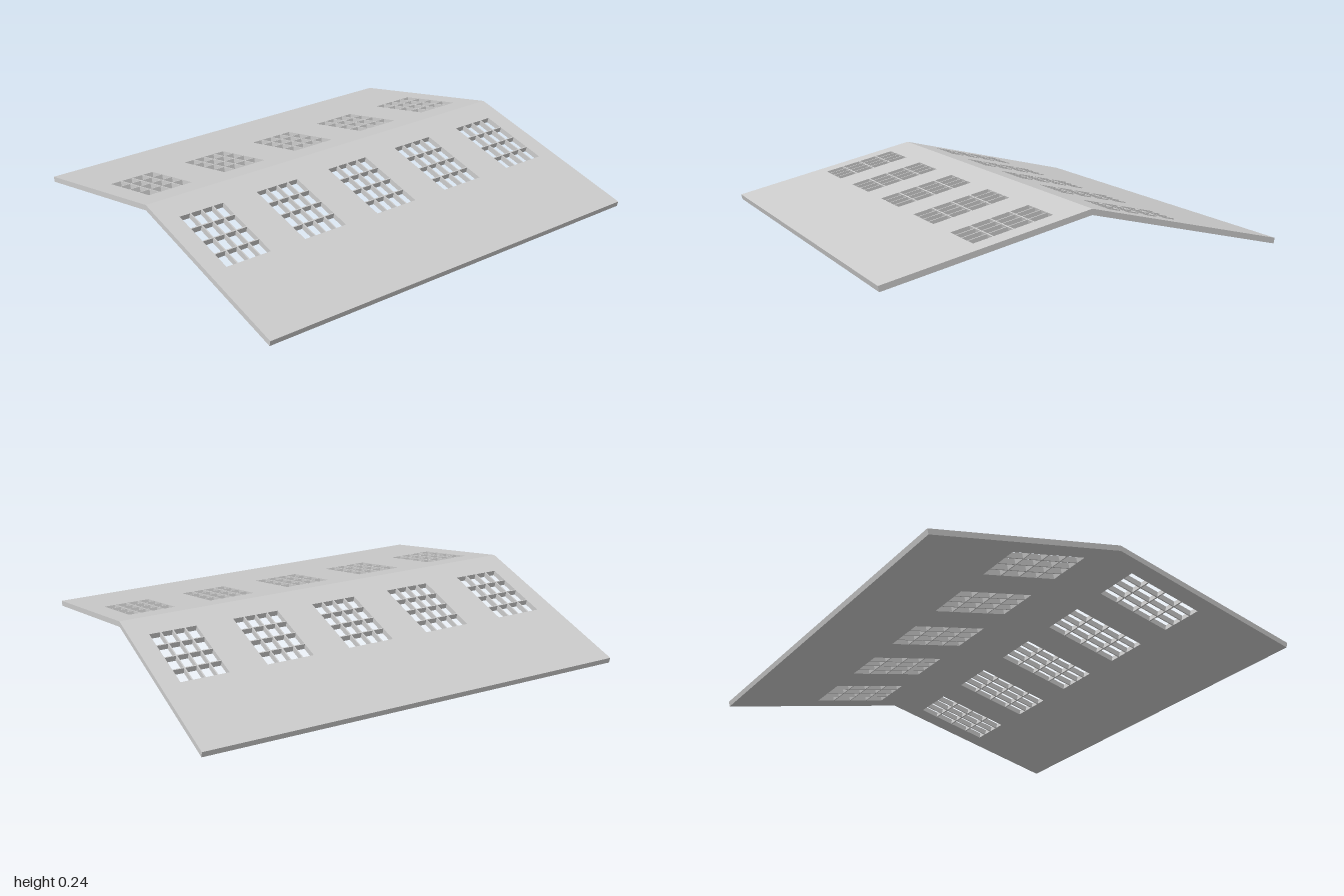
import * as THREE from 'three';

const HALF_WIDTH = 0.934, RIDGE = 0.24, EAVE_TOP = 0.025;
const PITCH = Math.atan((RIDGE - EAVE_TOP) / HALF_WIDTH);
const SLOPE = HALF_WIDTH / Math.cos(PITCH);
const THICK = EAVE_TOP / Math.cos(PITCH);

function rect(path, u0, v0, u1, v1) {
  path.moveTo(u0, v0);
  path.lineTo(u1, v0);
  path.lineTo(u1, v1);
  path.lineTo(u0, v1);
  path.closePath();
  return path;
}

// One sloping slab, pierced by five skylights of 4 x 4 panes
function slabGeometry() {
  const shape = rect(new THREE.Shape(), 0, -1, SLOPE, 1);
  const bar = 0.006, start = 0.132 / Math.cos(PITCH);
  const paneU = 0.0886, paneV = 0.051;
  const blockV = 4 * paneV + 3 * bar;
  for (let block = 0; block < 5; block++) {
    const v0 = -0.8 + block * 0.4 - blockV / 2;
    for (let i = 0; i < 4; i++) {
      for (let j = 0; j < 4; j++) {
        const u = start + i * (paneU + bar), v = v0 + j * (paneV + bar);
        shape.holes.push(rect(new THREE.Path(), u, v, u + paneU, v + paneV));
      }
    }
  }
  const geo = new THREE.ExtrudeGeometry(shape, { depth: THICK, bevelEnabled: false });
  geo.rotateX(-Math.PI / 2).translate(0, -THICK, 0);

  // Mitre the ridge end so the two slabs meet on a vertical plane
  const pos = geo.attributes.position;
  for (let i = 0; i < pos.count; i++) {
    if (pos.getX(i) < 1e-6) pos.setX(i, -pos.getY(i) * Math.tan(PITCH));
  }
  geo.rotateZ(-PITCH).translate(0, RIDGE, 0);
  geo.computeVertexNormals();
  return geo;
}

export function createModel() {
  const model = new THREE.Group();
  model.name = 'gableRoof';
  const material = new THREE.MeshStandardMaterial({ color: 0xcccccc, flatShading: true });
  const geo = slabGeometry();

  // The two slopes are the same slab turned half round
  ['leftRoofSlope', 'rightRoofSlope'].forEach((name, i) => {
    const slab = new THREE.Mesh(geo, material);
    slab.name = name;
    slab.rotation.y = i * Math.PI;
    model.add(slab);
  });
  return model;
}
